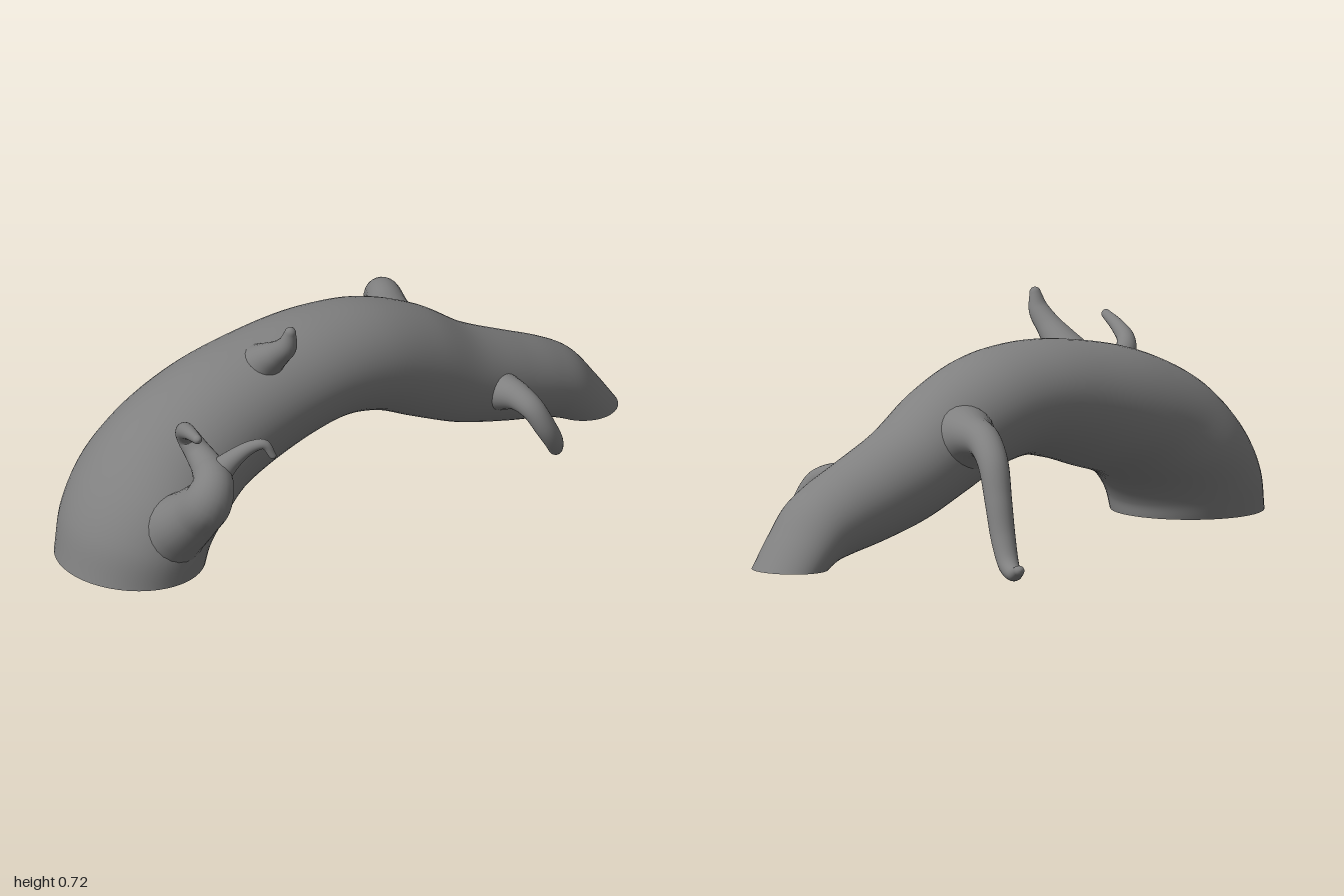
import * as THREE from 'three';

const material = new THREE.MeshStandardMaterial({ color: 0x808080 });

// Skin closed rings (arrays of Vector3) smoothly, with flat caps on both ends.
function loft(name, rings) {
  const sides = rings[0].length;
  const positions = [];
  const index = [];
  const push = (p) => positions.push(p.x, p.y, p.z) / 3 - 1;
  rings.forEach((ring) => ring.forEach(push));
  for (let i = 0; i < rings.length - 1; i++) {
    for (let j = 0; j < sides; j++) {
      const k = (j + 1) % sides;
      const a = i * sides + j, b = i * sides + k;
      index.push(a, b, a + sides, b, b + sides, a + sides);
    }
  }
  [rings[0], rings[rings.length - 1]].forEach((ring, end) => {
    const middle = new THREE.Vector3();
    ring.forEach((p) => middle.addScaledVector(p, 1 / sides));
    const c = push(middle);
    const first = c + 1;
    ring.forEach(push);
    for (let j = 0; j < sides; j++) {
      const a = first + j, b = first + (j + 1) % sides;
      if (end) index.push(c, a, b);
      else index.push(c, b, a);
    }
  });
  const geometry = new THREE.BufferGeometry();
  geometry.setAttribute('position', new THREE.Float32BufferAttribute(positions, 3));
  geometry.setIndex(index);
  geometry.computeVertexNormals();
  const mesh = new THREE.Mesh(geometry, material);
  mesh.name = name;
  return mesh;
}

// Ellipse around a centre, spanned by two half axes.
function ellipse(center, u, v, sides) {
  return Array.from({ length: sides }, (_, j) => {
    const a = (j / sides) * Math.PI * 2;
    return center.clone().addScaledVector(u, Math.cos(a)).addScaledVector(v, Math.sin(a));
  });
}

const spline = (points) => new THREE.CatmullRomCurve3(points);

// Arched trunk: each section is [underside x, y, upper side x, y, centre z, half width].
function trunk() {
  const sections = [
    [-0.56, 0.02, -1.0, 0.026, 0.155, 0.245],
    [-0.55, 0.06, -0.965, 0.16, 0.148, 0.26],
    [-0.5, 0.12, -0.885, 0.29, 0.135, 0.266],
    [-0.4, 0.17, -0.74, 0.43, 0.112, 0.238],
    [-0.28, 0.205, -0.52, 0.535, 0.098, 0.22],
    [-0.15, 0.245, -0.29, 0.588, 0.097, 0.206],
    [-0.03, 0.265, -0.08, 0.606, 0.097, 0.196],
    [0.1, 0.24, 0.13, 0.582, 0.095, 0.187],
    [0.25, 0.17, 0.32, 0.505, 0.095, 0.173],
    [0.4, 0.105, 0.48, 0.397, 0.095, 0.16],
    [0.56, 0.06, 0.64, 0.32, 0.095, 0.148],
    [0.67, 0.036, 0.765, 0.262, 0.095, 0.138],
    [0.73, 0.022, 0.85, 0.208, 0.095, 0.131],
    [0.76, 0.014, 0.925, 0.115, 0.096, 0.125],
    [0.78, 0.009, 1.0, 0.01, 0.097, 0.12],
  ];
  const under = spline(sections.map((s) => new THREE.Vector3(s[0], s[1], 0)));
  const upper = spline(sections.map((s) => new THREE.Vector3(s[2], s[3], 0)));
  const width = spline(sections.map((s) => new THREE.Vector3(s[4], s[5], 0)));
  const steps = 84;
  const rings = [];
  for (let i = 0; i <= steps; i++) {
    const a = under.getPoint(i / steps);
    const b = upper.getPoint(i / steps);
    const w = width.getPoint(i / steps);
    const center = a.clone().add(b).multiplyScalar(0.5).setZ(w.x);
    const u = b.sub(a).multiplyScalar(0.5);
    rings.push(ellipse(center, u, new THREE.Vector3(0, 0, w.y), 48));
  }
  return loft('trunk', rings);
}

// Tapering branch with a rounded tip: points are [x, y, z, radius], starting inside its parent.
function branch(name, points) {
  const path = spline(points.map((p) => new THREE.Vector3(p[0], p[1], p[2])));
  const taper = spline(points.map((p, i) => new THREE.Vector3(p[3], i * 0.05, 0)));
  const steps = points.length * 7;
  const frames = path.computeFrenetFrames(steps, false);
  const rings = [];
  const addRing = (center, i, r) => rings.push(ellipse(center,
    frames.normals[i].clone().multiplyScalar(r),
    frames.binormals[i].clone().multiplyScalar(r), 24));
  for (let i = 0; i <= steps; i++) {
    const t = path.getUtoTmapping(i / steps);
    addRing(path.getPoint(t), i, taper.getPoint(t).x);
  }
  // rounded tip
  const r = points[points.length - 1][3];
  for (let k = 1; k <= 4; k++) {
    const a = (k / 4) * 1.45;
    const center = path.getPoint(1).addScaledVector(frames.tangents[steps], r * Math.sin(a));
    addRing(center, steps, r * Math.cos(a));
  }
  return loft(name, rings);
}

export function createModel() {
  const group = new THREE.Group();
  group.name = 'archedTrunk';
  group.add(
    trunk(),
    // long drooping branch at the back
    branch('backBranch', [
      [0.27, 0.345, 0.03, 0.125], [0.31, 0.37, -0.055, 0.092], [0.352, 0.382, -0.135, 0.064],
      [0.4, 0.378, -0.235, 0.051], [0.435, 0.325, -0.31, 0.046], [0.46, 0.22, -0.36, 0.041],
      [0.478, 0.11, -0.402, 0.037], [0.5, 0.04, -0.45, 0.031], [0.525, 0.024, -0.5, 0.023],
      [0.553, 0.041, -0.553, 0.016],
    ]),
    // small hooked branch at the front
    branch('frontHook', [
      [0.515, 0.205, 0.165, 0.08], [0.52, 0.222, 0.235, 0.058], [0.527, 0.23, 0.3, 0.043],
      [0.54, 0.21, 0.36, 0.036], [0.565, 0.155, 0.388, 0.033], [0.595, 0.1, 0.388, 0.029],
      [0.615, 0.06, 0.37, 0.022], [0.627, 0.045, 0.345, 0.015],
    ]),
    // short spur on top
    branch('topSpur', [
      [-0.31, 0.515, 0.15, 0.075], [-0.31, 0.568, 0.205, 0.052], [-0.31, 0.61, 0.255, 0.039],
      [-0.308, 0.655, 0.298, 0.031], [-0.307, 0.706, 0.314, 0.017],
    ]),
    // thick stem beside the base, curling back into a long horn
    branch('baseStem', [
      [-0.745, 0.11, 0.2, 0.09], [-0.745, 0.152, 0.3, 0.112], [-0.745, 0.208, 0.37, 0.098],
      [-0.738, 0.28, 0.446, 0.083], [-0.728, 0.345, 0.499, 0.074], [-0.705, 0.39, 0.488, 0.063],
      [-0.685, 0.412, 0.43, 0.05], [-0.682, 0.44, 0.37, 0.04], [-0.695, 0.478, 0.34, 0.034],
      [-0.72, 0.515, 0.36, 0.028], [-0.745, 0.545, 0.42, 0.022], [-0.778, 0.573, 0.513, 0.014],
    ]),
    // thin side horn growing from the stem
    branch('sideHorn', [
      [-0.725, 0.35, 0.478, 0.055], [-0.68, 0.405, 0.474, 0.044], [-0.63, 0.452, 0.488, 0.029],
      [-0.58, 0.49, 0.515, 0.019], [-0.55, 0.497, 0.535, 0.015], [-0.53, 0.46, 0.55, 0.011],
    ]),
  );
  return group;
}
